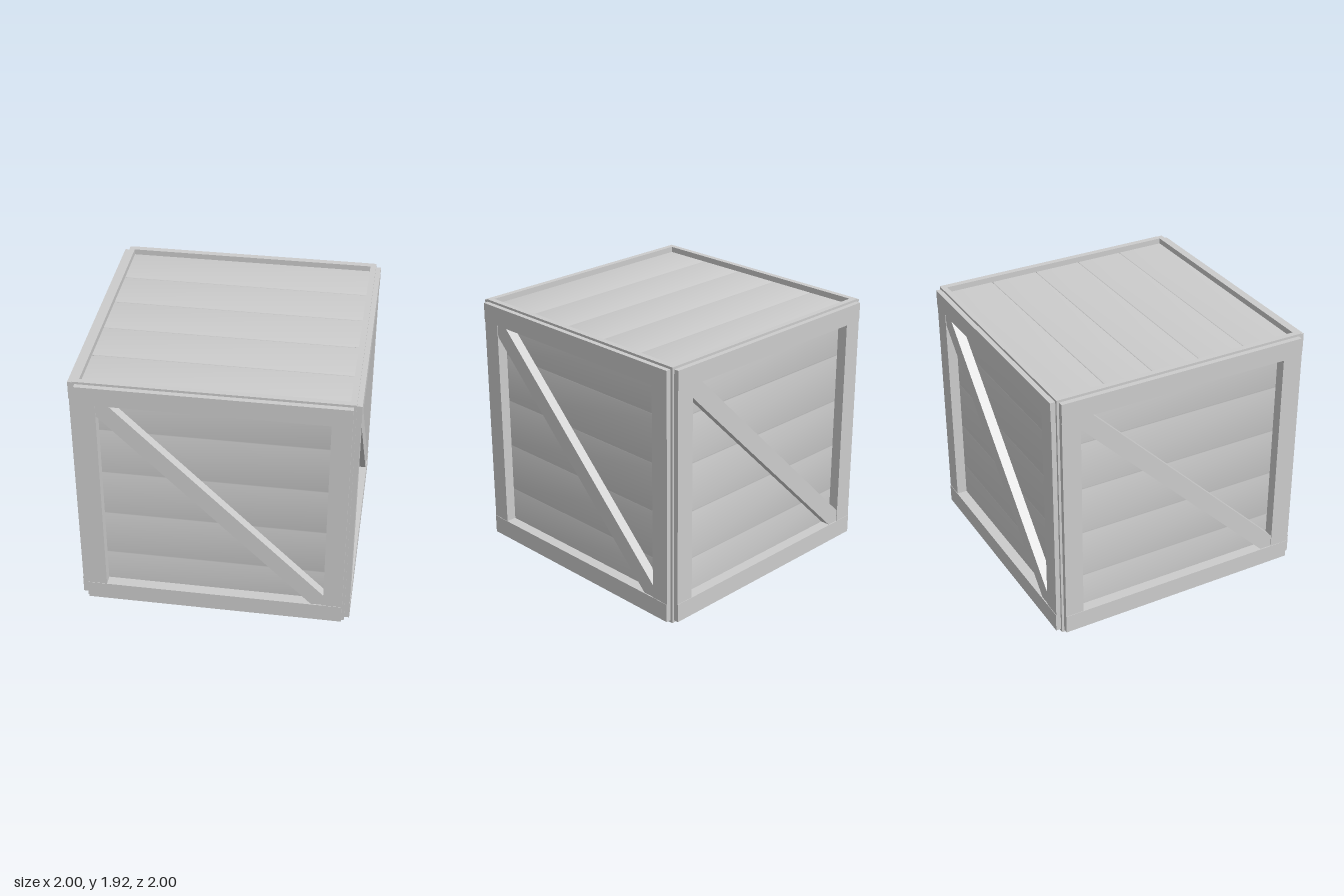
import * as THREE from 'three';
import { mergeVertices } from 'three/addons/utils/BufferGeometryUtils.js';

const EDGE = 0.9625;       // outer half-size of the edge beams
const SKIN = 0.92;         // outer face of the planks
const CORE = 0.89;         // inner face of the planks
const GAP = 0.009;
const PITCH = 0.3675;      // plank spacing

const wood = new THREE.MeshStandardMaterial({ color: 0xcccccc });
wood.name = 'plainGrey';

// Joins shared corners so the normals blend softly over the edges
function soften(geometry) {
  geometry.deleteAttribute('normal');
  geometry.deleteAttribute('uv');
  const g = mergeVertices(geometry);
  g.computeVertexNormals();
  return g;
}

// Board given by its lower and upper limits on each axis
function board(name, parent, [x0, x1], [y0, y1], [z0, z1], soft = false) {
  const box = new THREE.BoxGeometry(x1 - x0, y1 - y0, z1 - z0);
  const mesh = new THREE.Mesh(soft ? soften(box) : box, wood);
  mesh.name = name;
  mesh.position.set((x0 + x1) / 2, (y0 + y1) / 2, (z0 + z1) / 2);
  parent.add(mesh);
}

// Limits of each of the five planks, measured from the centre
function plankSpans(half) {
  const spans = [];
  for (let i = 0; i < 5; i++) {
    const lo = i === 0 ? -half : (i - 2.5) * PITCH + GAP / 2;
    const hi = i === 4 ? half : (i - 1.5) * PITCH - GAP / 2;
    spans.push([lo, hi]);
  }
  return spans;
}

// One wall: recessed planks, frame and diagonal brace, facing +z
function createSide() {
  const side = new THREE.Group();
  for (const span of plankSpans(0.915)) {
    board('wallPlank', side, [-SKIN, SKIN], span, [CORE, SKIN], true);
  }

  // Frame
  const w = 0.945, inner = 0.805;
  board('topRail', side, [-w, w], [inner, w], [SKIN, 1]);
  board('bottomRail', side, [-w, w], [-w, -inner], [SKIN, 1]);
  board('stile', side, [-w, -inner], [-inner, inner], [SKIN, 0.997]);
  board('stile', side, [inner, w], [-inner, inner], [SKIN, 0.997]);

  // Diagonal brace, cut to the frame corners
  const cut = 0.715;
  const shape = new THREE.Shape([
    [-inner, inner], [-inner, cut], [cut, -inner],
    [inner, -inner], [inner, -cut], [-cut, inner],
  ].map(([x, y]) => new THREE.Vector2(x, y)));
  const brace = new THREE.Mesh(
    new THREE.ExtrudeGeometry(shape, { depth: 0.992 - SKIN, bevelEnabled: false }), wood);
  brace.name = 'diagonalBrace';
  brace.position.z = SKIN;
  side.add(brace);
  return side;
}

export function createModel() {
  const crate = new THREE.Group();
  crate.name = 'crate';
  const body = new THREE.Group();
  body.name = 'body';
  body.position.y = EDGE;
  crate.add(body);

  // Four matching walls
  ['front', 'left', 'back', 'right'].forEach((name, i) => {
    const side = createSide();
    side.name = name + 'Side';
    side.rotation.y = i * Math.PI / 2;
    body.add(side);
  });

  // Slim beams along all twelve edges
  const low = [-EDGE, -SKIN], high = [SKIN, EDGE], span = [-SKIN, SKIN];
  for (const a of [low, high]) {
    for (const b of [low, high]) {
      board('cornerPost', body, a, [-EDGE, EDGE], b);
      board('crossBeam', body, span, a, b);
      board('sideBeam', body, a, b, span);
    }
  }

  // Recessed lid and floor planks
  for (const zs of plankSpans(SKIN)) {
    board('lidPlank', body, span, [CORE, SKIN], zs, true);
    board('floorPlank', body, span, [-SKIN, -CORE], zs, true);
  }
  return crate;
}
